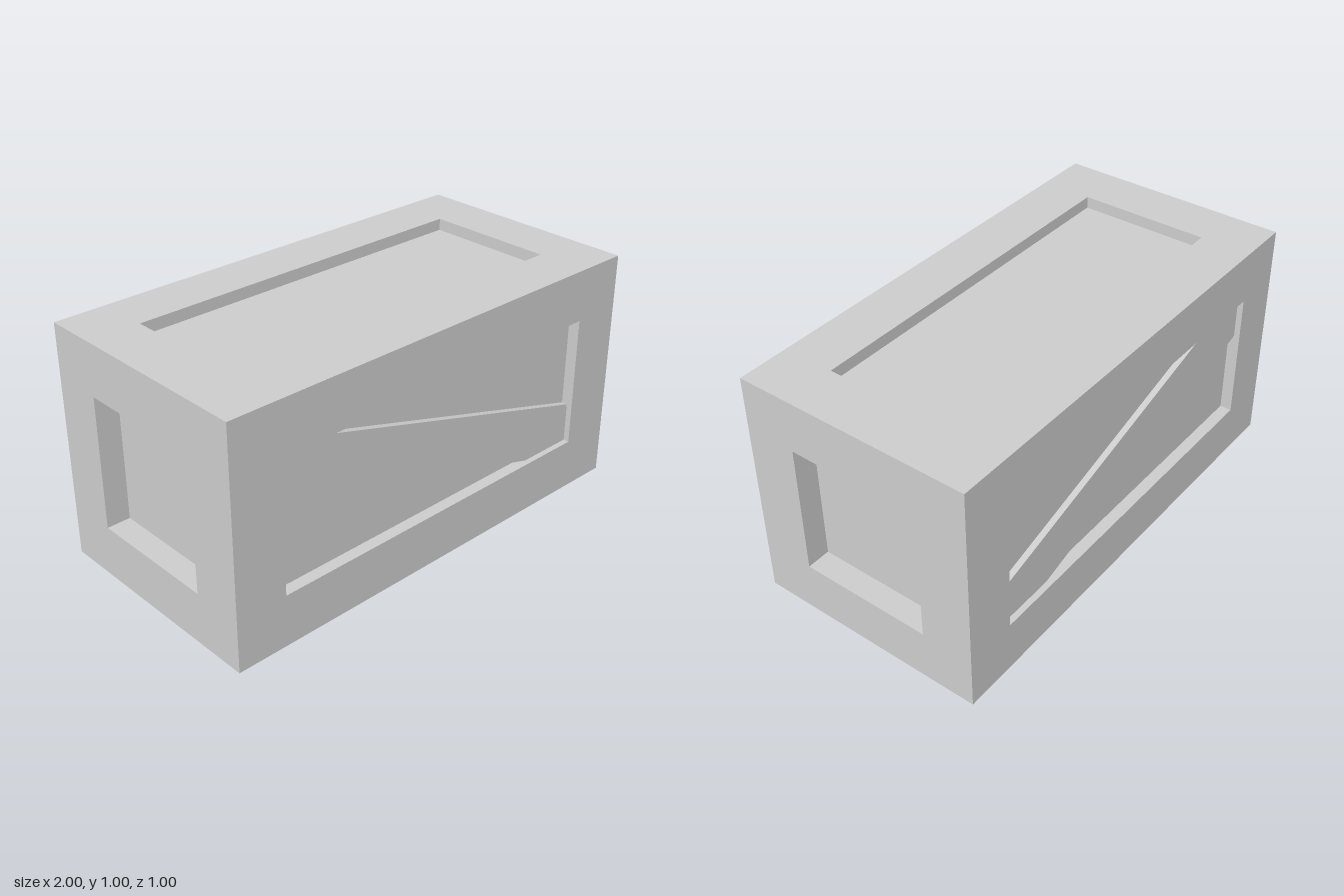
import * as THREE from 'three';

export function createModel() {
  const crate = new THREE.Group();
  crate.name = 'crate';
  const material = new THREE.MeshStandardMaterial({ color: 0xcccccc, flatShading: true });

  const add = (name, geometry, x, y, z) => {
    const mesh = new THREE.Mesh(geometry, material);
    mesh.name = name;
    mesh.position.set(x, y, z);
    crate.add(mesh);
  };

  const W = 2, H = 1, D = 1;   // outer size
  const B = 0.22;              // beam thickness
  const cx = W / 2 - B / 2, cy = H / 2 - B / 2, cz = D / 2 - B / 2;

  // Recessed panels: one inner box, set deeper at the two ends
  add('panels', new THREE.BoxGeometry(W - 0.2, H - 0.1, D - 0.1), 0, H / 2, 0);

  // Frame: four long beams, four posts and four cross rails
  const beam = new THREE.BoxGeometry(W, B, B);
  const post = new THREE.BoxGeometry(B, H - 2 * B, B);
  const rail = new THREE.BoxGeometry(B, B, D - 2 * B);
  for (const a of [-1, 1]) {
    for (const b of [-1, 1]) {
      add('longBeam', beam, 0, H / 2 + a * cy, b * cz);
      add('cornerPost', post, a * cx, H / 2, b * cz);
      add('crossRail', rail, a * cx, H / 2 + b * cy, 0);
    }
  }

  // Diagonal brace, standing slightly proud of the front and back panels
  const outline = [[-0.78, 0.78], [-0.78, 0.6], [0.53, 0.22], [0.78, 0.22], [0.78, 0.39], [-0.585, 0.78]];
  const braceShape = new THREE.Shape(outline.map(([x, y]) => new THREE.Vector2(x, y)));
  const depth = D - 0.05;
  add('diagonalBrace', new THREE.ExtrudeGeometry(braceShape, { depth, bevelEnabled: false }), 0, 0, -depth / 2);

  return crate;
}
